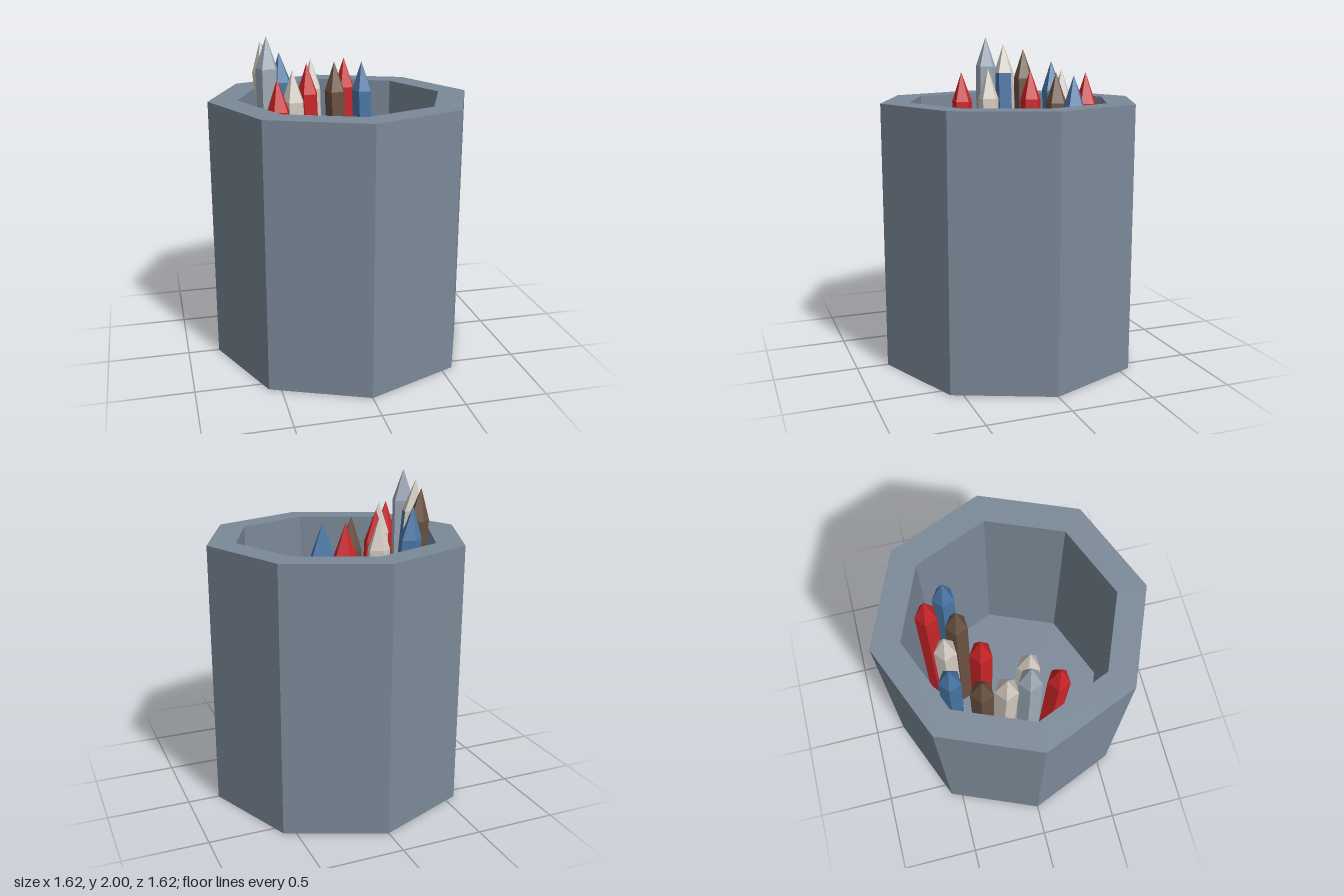
import * as THREE from 'three';

const mat = (name, color) => {
  const m = new THREE.MeshStandardMaterial({ color });
  m.name = name;
  return m;
};

// faceted solid of revolution with flat normals
function facets(profile, sides, phiStart = 0, phiLength = Math.PI * 2) {
  const points = profile.map(([r, y]) => new THREE.Vector2(r, y));
  const g = new THREE.LatheGeometry(points, sides, phiStart, phiLength).toNonIndexed();
  g.computeVertexNormals();
  return g;
}

export function createModel() {
  const group = new THREE.Group();
  group.name = 'pencilCup';

  const slate = mat('slate', 0x7b8998);
  const red = mat('red', 0xcc2529);
  const cream = mat('cream', 0xd6cec4);
  const steel = mat('steel', 0xa0acba);
  const brown = mat('brown', 0x6c5343);
  const blue = mat('blue', 0x4b78a8);

  // hollow octagonal cup
  const R = 0.808, INNER = 0.632, TOP = 1.625, FLOOR = 0.2;
  const cup = new THREE.Mesh(
    facets([[0, 0], [R, 0], [R, TOP], [INNER, TOP], [INNER, FLOOR], [0, FLOOR]], 8), slate);
  cup.name = 'cup';
  group.add(cup);

  // five-sided pencils leaning from the floor to their tips
  const r = 0.068, tipLength = 0.19, base = FLOOR + 0.01;
  const step = Math.PI * 2 / 5, phase = THREE.MathUtils.degToRad(-33);

  function pencil(name, color, tip, foot, panel) {
    const [tx, ty, tz] = tip;
    const [fx, fz] = foot;
    const shoulder = ty - tipLength;
    const holder = new THREE.Group();
    holder.name = name;

    const add = (partName, material, profile, sides, start) => {
      const g = facets(profile, sides, start, sides * step);
      const p = g.attributes.position;
      for (let i = 0; i < p.count; i++) {
        const t = (p.getY(i) - base) / (ty - base);
        p.setX(i, p.getX(i) + fx + (tx - fx) * t);
        p.setZ(i, p.getZ(i) + fz + (tz - fz) * t);
      }
      g.computeVertexNormals();
      const mesh = new THREE.Mesh(g, material);
      mesh.name = partName;
      holder.add(mesh);
    };

    const body = [[0, base], [r, base], [r, shoulder]];
    add('pencilTip', color, [[r, shoulder], [0, ty]], 5, phase);
    if (panel) {
      // two sides of the barrel carry a second colour
      add('barrelPanel', panel, body, 2, phase);
      add('barrel', color, body, 3, phase + 2 * step);
    } else {
      add('barrel', color, body, 5, phase);
    }
    group.add(holder);
  }

  // tall pencils
  pencil('steelPencil', steel, [-0.45, 2.0, 0], [-0.44, 0]);
  pencil('creamTallPencil', cream, [-0.47, 1.955, -0.13], [-0.31, -0.13], blue);
  pencil('brownTallPencil', brown, [-0.44, 1.92, -0.26], [-0.285, -0.255]);
  pencil('blueTallPencil', blue, [-0.31, 1.845, -0.41], [-0.18, -0.43]);

  // short pencils
  pencil('redFrontPencil', red, [-0.42, 1.775, 0.18], [-0.355, 0.165]);
  pencil('creamFrontPencil', cream, [-0.305, 1.8, 0.035], [-0.235, 0.02]);
  pencil('redMiddlePencil', red, [-0.17, 1.8, -0.205], [-0.105, -0.225]);
  pencil('creamBackPencil', cream, [-0.105, 1.8, -0.395], [-0.06, -0.41]);
  pencil('brownShortPencil', brown, [0.03, 1.79, -0.3], [0.095, -0.32]);
  pencil('redBackPencil', red, [0.13, 1.79, -0.455], [0.2, -0.475]);
  pencil('blueShortPencil', blue, [0.22, 1.78, -0.335], [0.29, -0.36]);

  return group;
}
